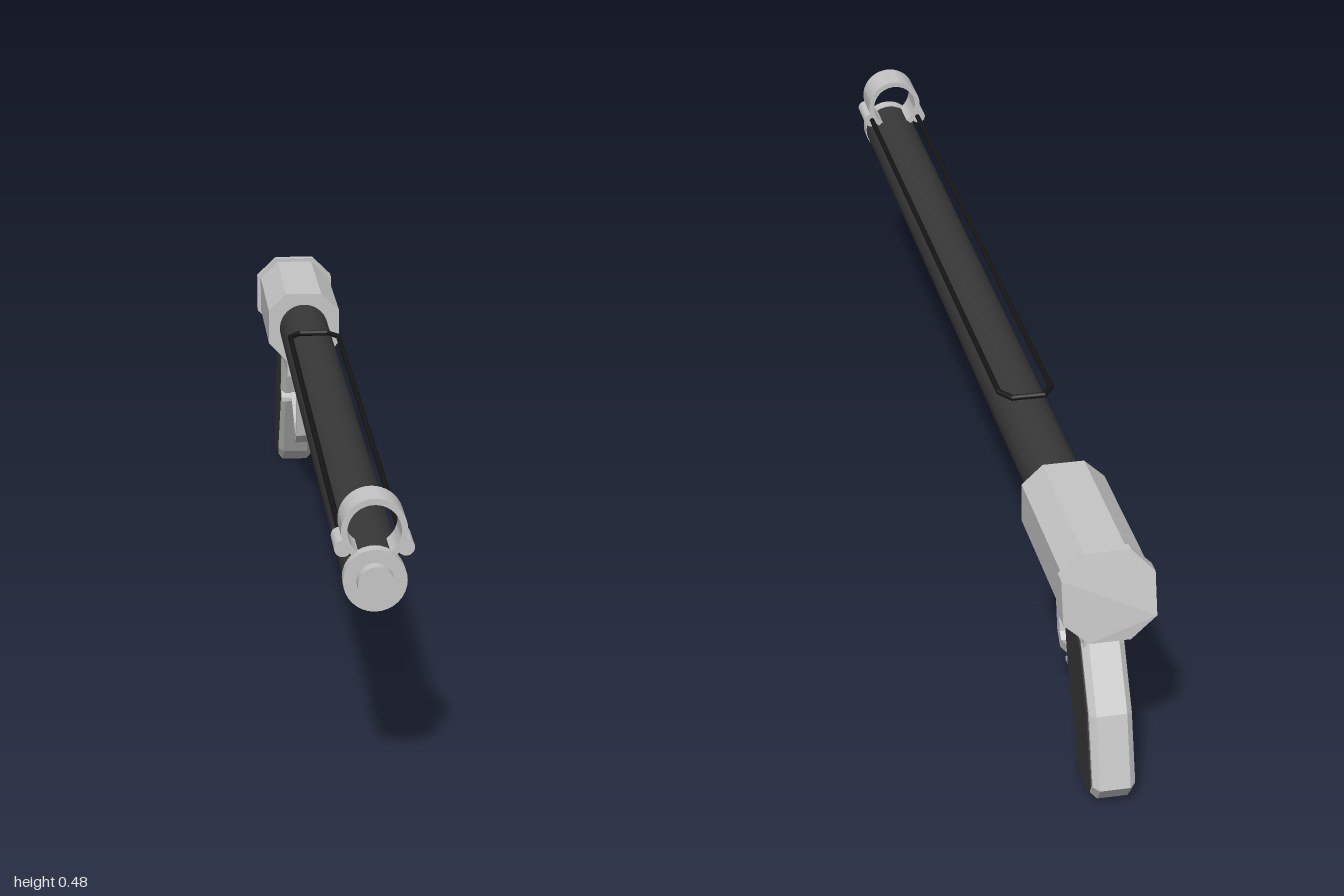
import * as THREE from 'three';
import { toCreasedNormals } from 'three/addons/utils/BufferGeometryUtils.js';

const metal = new THREE.MeshStandardMaterial({ color: 0xc6c6c6 });
metal.name = 'lightMetal';
const dark = new THREE.MeshStandardMaterial({ color: 0x383838 });
dark.name = 'darkGrey';
const rubber = new THREE.MeshStandardMaterial({ color: 0x161616 });
rubber.name = 'blackRubber';

const AXIS_Y = 0.357; // height of the barrel axis

export function createModel() {
  const model = new THREE.Group();
  model.name = 'speargun';

  const add = (name, geometry, material) => {
    const mesh = new THREE.Mesh(geometry, material);
    mesh.name = name;
    model.add(mesh);
    return mesh;
  };
  const shapeOf = (pts) => new THREE.Shape(pts.map(([a, b]) => new THREE.Vector2(a, b)));

  // Side profile given as [z, y], extruded across x with an inward bevel
  const sideExtrude = (pts, halfWidth, bevel = 0) => {
    const g = new THREE.ExtrudeGeometry(shapeOf(pts), {
      depth: 2 * (halfWidth - bevel), bevelEnabled: bevel > 0, bevelSegments: 1,
      bevelSize: bevel, bevelThickness: bevel, bevelOffset: -bevel,
    });
    g.translate(0, 0, -(halfWidth - bevel));
    g.rotateY(-Math.PI / 2);
    return g;
  };
  // Cross-section given as [x, y], mirrored in x, extruded from z0 to z1
  const frontExtrude = (half, z0, z1) => {
    const mirrored = half.map(([x, y]) => [-x, y]).reverse();
    const g = new THREE.ExtrudeGeometry(shapeOf([...half, ...mirrored]), { depth: z1 - z0, bevelEnabled: false });
    return g.translate(0, 0, z0);
  };
  const rod = (r, z0, z1, x = 0, y = AXIS_Y, sides = 32) => {
    const g = new THREE.CylinderGeometry(r, r, z1 - z0, sides);
    return g.rotateX(Math.PI / 2).translate(x, y, (z0 + z1) / 2);
  };

  // Barrel and muzzle
  add('barrel', rod(0.048, -0.63, 0.958), dark);
  add('muzzleCap', rod(0.05, 0.955, 0.978), metal);
  add('muzzleNub', rod(0.029, 0.97, 1.0), metal);

  // Front sight ring with a lug on either side
  const ringProfile = [[0.042, -0.035], [0.052, -0.035], [0.052, 0.035], [0.042, 0.035], [0.042, -0.035]]
    .map(([r, h]) => new THREE.Vector2(r, h));
  const ring = toCreasedNormals(new THREE.LatheGeometry(ringProfile, 40), 0.6);
  ring.rotateX(Math.PI / 2).translate(0, 0.432, 0.928);
  add('muzzleRing', ring, metal);
  for (const s of [1, -1]) {
    add(s > 0 ? 'leftLug' : 'rightLug', rod(0.0135, 0.893, 0.963, s * 0.049, 0.405, 20), metal);
  }

  // Rubber band looping back from the lugs
  const band = new THREE.CurvePath();
  const p = [[0.047, 0.405, 0.9], [0.046, 0.413, -0.325], [0.028, 0.413, -0.352]].map((a) => new THREE.Vector3(...a));
  const loop = [...p, ...p.slice().reverse().map((v) => new THREE.Vector3(-v.x, v.y, v.z))];
  for (let i = 0; i < loop.length - 1; i++) band.add(new THREE.LineCurve3(loop[i], loop[i + 1]));
  for (const line of band.curves) add('rubberBand', new THREE.TubeGeometry(line, 1, 0.005, 8), rubber);
  for (const v of loop.slice(1, -1)) {
    add('bandCorner', new THREE.SphereGeometry(0.005, 8, 6).translate(v.x, v.y, v.z), rubber);
  }

  // Receiver: octagonal body on a narrow lower block
  add('receiver', frontExtrude([[0.033, 0.288], [0.07, 0.327], [0.07, 0.394], [0.035, 0.427]], -0.91, -0.615), metal);
  add('receiverBase', sideExtrude([[-0.615, 0.258], [-0.905, 0.253], [-0.905, 0.31], [-0.615, 0.31]], 0.033), metal);

  // Rear cap: wider octagon whose back face slopes outward towards the bottom
  const cap = frontExtrude([[0.034, 0.285], [0.076, 0.324], [0.076, 0.395], [0.038, 0.434]], -0.94, -0.902);
  const pos = cap.attributes.position;
  for (let i = 0; i < pos.count; i++) {
    if (pos.getZ(i) < -0.92) {
      const t = THREE.MathUtils.clamp((0.434 - pos.getY(i)) / 0.11, 0, 1);
      pos.setZ(i, -0.918 - 0.027 * t);
    }
  }
  cap.computeVertexNormals();
  add('rearCap', cap, metal);

  // Pistol grip with dark side panels
  add('grip', sideExtrude([
    [-0.765, 0.265], [-0.805, 0.17], [-0.888, 0.022], [-0.908, 0], [-0.98, 0.013],
    [-1.0, 0.04], [-0.967, 0.16], [-0.905, 0.265],
  ], 0.035, 0.01), metal);
  add('gripPanels', sideExtrude([
    [-0.785, 0.256], [-0.815, 0.17], [-0.898, 0.025], [-0.912, 0.009], [-0.968, 0.018],
    [-0.982, 0.04], [-0.948, 0.16], [-0.892, 0.256],
  ], 0.037, 0.002), dark);

  // Trigger guard and the collar where it meets the grip
  add('triggerGuard', sideExtrude([
    [-0.615, 0.26], [-0.645, 0.125], [-0.667, 0.105], [-0.83, 0.165], [-0.815, 0.178],
    [-0.675, 0.122], [-0.662, 0.132], [-0.633, 0.26],
  ], 0.014), metal);
  add('guardCollar', sideExtrude([[-0.79, 0.158], [-0.83, 0.163], [-0.82, 0.178], [-0.79, 0.166]], 0.034), metal);

  // Curved trigger
  const trigger = new THREE.Shape();
  trigger.moveTo(-0.695, 0.262);
  trigger.quadraticCurveTo(-0.745, 0.2, -0.7, 0.18);
  trigger.lineTo(-0.705, 0.19);
  trigger.quadraticCurveTo(-0.728, 0.205, -0.68, 0.262);
  const triggerGeo = sideExtrude(trigger.getPoints(8).map((v) => [v.x, v.y]), 0.008);
  add('trigger', triggerGeo, metal);

  return model;
}
